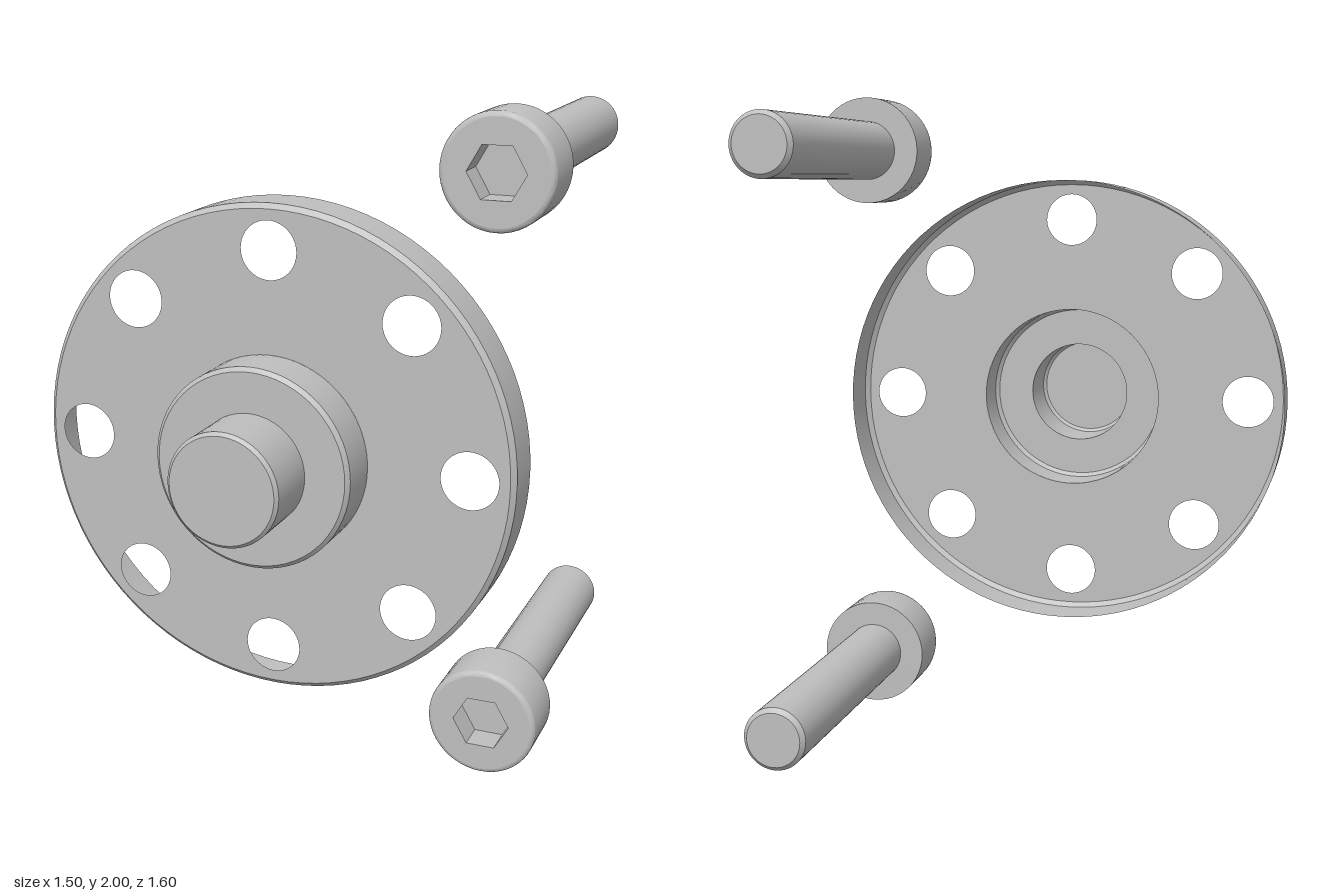
import * as THREE from 'three';
import { toCreasedNormals } from 'three/addons/utils/BufferGeometryUtils.js';

const steel = new THREE.MeshStandardMaterial({ color: 0xbfbfbf, side: THREE.DoubleSide });
steel.name = 'steel grey';

function part(name, geometry) {
  const mesh = new THREE.Mesh(geometry, steel);
  mesh.name = name;
  return mesh;
}

// Turned surface around the z axis; points are [radius, z], listed back to front
function turned(name, points, segments = 64) {
  const geo = new THREE.LatheGeometry(points.map(([r, z]) => new THREE.Vector2(r, z)), segments);
  geo.rotateX(Math.PI / 2);
  return part(name, toCreasedNormals(geo, 0.5));
}

// Flat disc facing +z with holes cut through it
function plate(name, radius, z, holes) {
  const shape = new THREE.Shape().absarc(0, 0, radius, 0, Math.PI * 2);
  shape.holes.push(...holes);
  return part(name, new THREE.ShapeGeometry(shape, 48).translate(0, 0, z));
}

const circlePath = (x, y, r) => new THREE.Path().absarc(x, y, r, 0, Math.PI * 2, true);

// Hollow stepped flange, open at the back
function createFlange() {
  const group = new THREE.Group();
  group.name = 'flange';
  const holes = [circlePath(0, 0, 0.3)];
  for (let i = 0; i < 8; i++) {
    const a = (i * Math.PI) / 4;
    holes.push(circlePath(Math.cos(a) * 0.603, Math.sin(a) * 0.603, 0.085));
  }
  group.add(
    turned('flangeRim', [[0.735, 0.32], [0.735, 0.453], [0.72, 0.467]], 96),
    plate('flangeFace', 0.72, 0.467, holes),
    turned('hub', [[0.3, 0.467], [0.3, 0.6], [0.288, 0.612], [0.168, 0.612]]),
    turned('spigot', [[0.168, 0.612], [0.168, 0.79], [0.158, 0.8], [0, 0.8]]),
  );
  group.position.set(-0.02, 1.003, 0);
  return group;
}

// Socket head screw pointing backwards
function createScrew(name, y) {
  const group = new THREE.Group();
  group.name = name;
  const headR = 0.168, front = 0.29, fillet = 0.015, hexR = 0.087, depth = 0.09;

  const head = [[0.093, 0.11], [headR, 0.11]];
  for (let i = 0; i <= 4; i++) {
    const a = (i * Math.PI) / 8;
    head.push([headR - fillet + Math.cos(a) * fillet, front - fillet + Math.sin(a) * fillet]);
  }

  const corners = Array.from({ length: 6 }, (_, i) => {
    const a = (-i * Math.PI) / 3;
    return new THREE.Vector2(Math.cos(a) * hexR, Math.sin(a) * hexR);
  });
  const walls = new THREE.CylinderGeometry(hexR, hexR, depth, 6, 1, true)
    .rotateY(Math.PI / 6).rotateX(Math.PI / 2).translate(0, 0, front - depth / 2);

  group.add(
    turned('shank', [[0, -0.8], [0.08, -0.8], [0.093, -0.787], [0.093, 0.11]], 48),
    turned('head', head, 48),
    plate('headFace', headR - fillet, front, [new THREE.Path(corners)]),
    part('socketWalls', toCreasedNormals(walls, 0.5)),
    part('socketFloor', new THREE.CircleGeometry(hexR, 6).translate(0, 0, front - depth)),
  );
  group.position.set(0.582, y, 0);
  return group;
}

export function createModel() {
  const model = new THREE.Group();
  model.name = 'flangeWithScrews';
  model.add(
    createFlange(),
    createScrew('upperScrew', 1.832),
    createScrew('lowerScrew', 0.168),
  );
  return model;
}
